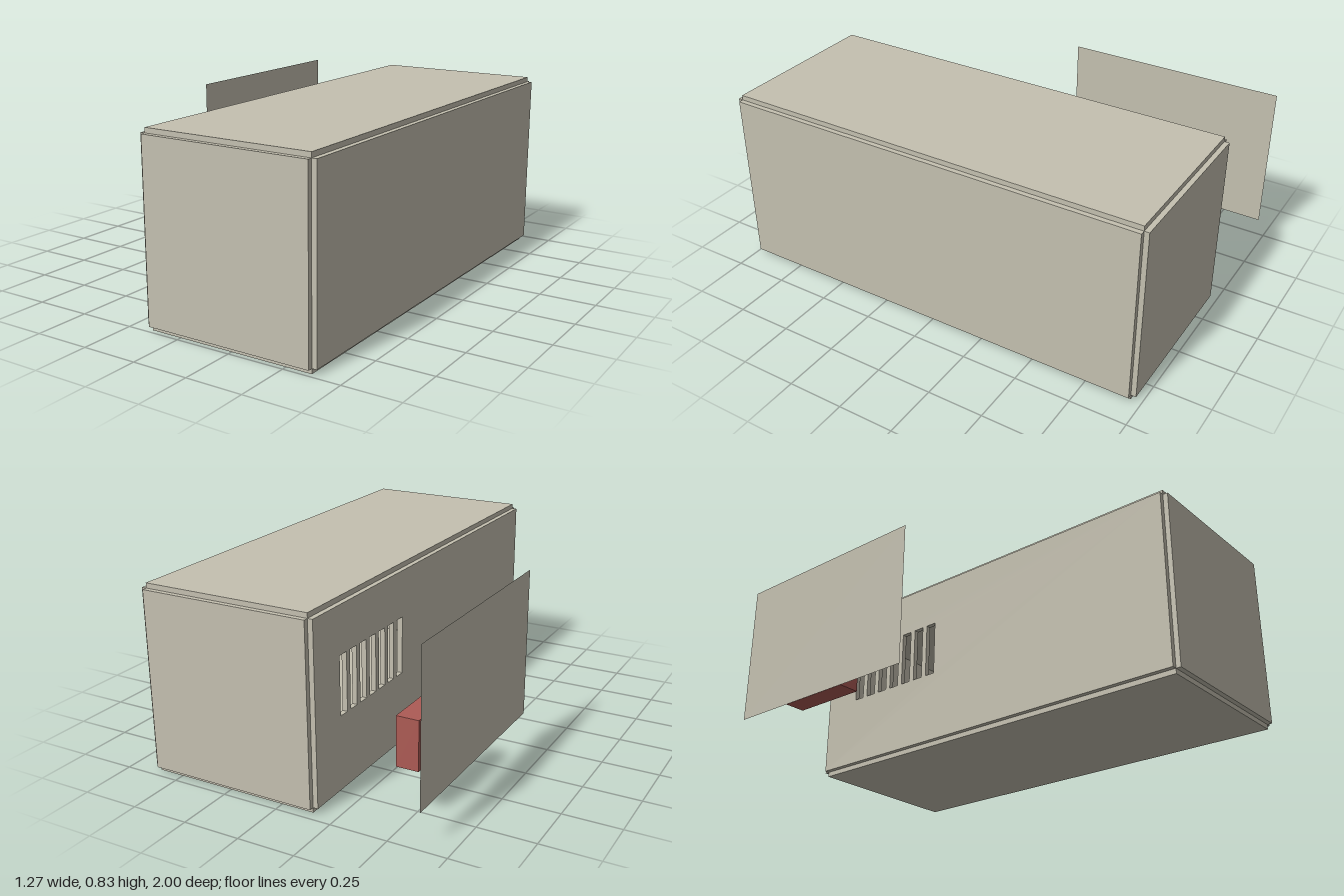
import * as THREE from 'three';

export function createModel() {
  const model = new THREE.Group();
  const tan = new THREE.MeshStandardMaterial({ color: 0xc4c0b0 });
  tan.name = 'warmGrey';
  const panelMat = new THREE.MeshStandardMaterial({ color: 0xc4c0b0, side: THREE.DoubleSide });
  panelMat.name = 'warmGreyPanel';
  const red = new THREE.MeshStandardMaterial({ color: 0xad5b55 });
  red.name = 'brickRed';

  const add = (name, geometry, material) => {
    const mesh = new THREE.Mesh(geometry, material);
    mesh.name = name;
    model.add(mesh);
    return mesh;
  };
  // Box given by its lower and upper corners
  const block = (name, a, b, material) => {
    const size = b.map((v, i) => v - a[i]);
    add(name, new THREE.BoxGeometry(...size), material)
      .position.set(...a.map((v, i) => v + size[i] / 2));
  };
  const rect = (path, u0, v0, u1, v1) => {
    path.moveTo(u0, v0);
    path.lineTo(u1, v0);
    path.lineTo(u1, v1);
    path.lineTo(u0, v1);
    path.closePath();
    return path;
  };

  // Hollow case: six slabs that leave a small notch along every edge
  const T = 0.022;
  const [x0, y0, z0] = [-0.167, 0, -0.975];
  const [x1, y1, z1] = [0.636, 0.827, 1];
  const [ix0, iy0, iz0, ix1, iy1, iz1] = [x0 + T, y0 + T, z0 + T, x1 - T, y1 - T, z1 - T];
  block('bottomWall', [ix0, y0, iz0], [ix1, iy0, iz1], tan);
  block('topWall', [ix0, iy1, iz0], [ix1, y1, iz1], tan);
  block('frontWall', [ix0, iy0, iz1], [ix1, iy1, z1], tan);
  block('backWall', [ix0, iy0, z0], [ix1, iy1, iz0], tan);
  block('leftWall', [ix1, iy0, iz0], [x1, iy1, iz1], tan);

  // Right wall with a row of upright vent slots near the back
  const wall = rect(new THREE.Shape(), iz0, iy0, iz1, iy1);
  const slots = 7, start = -0.77, end = -0.26, bar = 0.026;
  const gap = (end - start - bar * (slots - 1)) / slots;
  for (let i = 0; i < slots; i++) {
    const u = start + i * (gap + bar);
    wall.holes.push(rect(new THREE.Path(), u, 0.345, u + gap, 0.6));
  }
  const ventWall = new THREE.ExtrudeGeometry(wall, { depth: T, bevelEnabled: false });
  ventWall.rotateY(-Math.PI / 2);
  add('ventedRightWall', ventWall, tan).position.x = ix0;

  // Detached module and cover sheet beside the vents
  block('redModule', [-0.54, 0.217, -0.825], [-0.443, 0.43, -0.465], red);
  const cover = add('coverPanel', new THREE.PlaneGeometry(0.99, 0.655), panelMat);
  cover.rotation.y = -Math.PI / 2;
  cover.position.set(-0.637, 0.4825, -0.505);

  return model;
}
